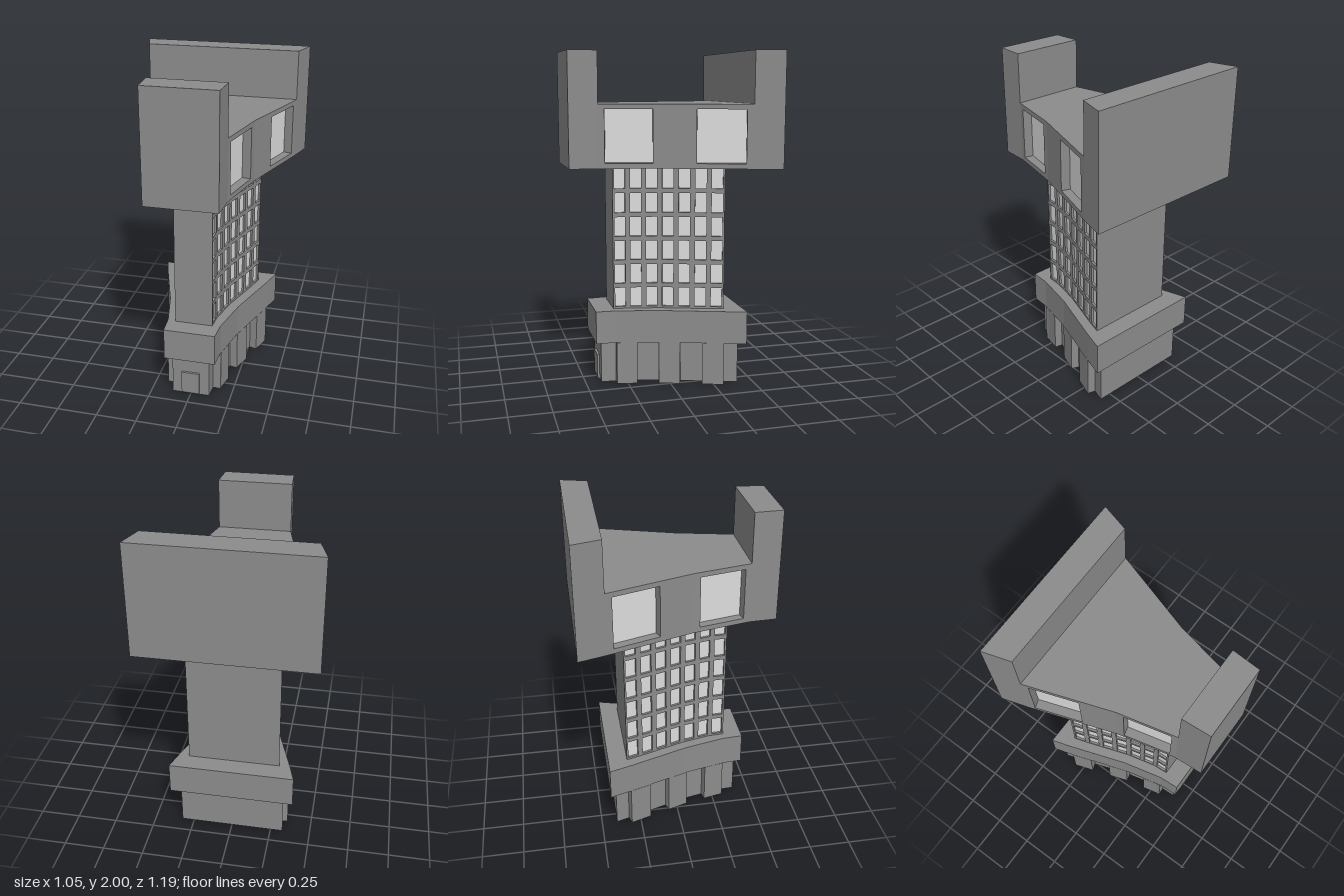
import * as THREE from 'three';

const END = 0.594; // half length of the full-size footprint
// right-hand edge of the full-size footprint, front to back: [x, z]
const EDGE = [[0.215, END], [0.225, 0.425], [0.304, 0.08], [0.475, -0.43], [0.524, -END]];

export function createModel() {
  const model = new THREE.Group();
  model.name = 'tower';
  const concrete = new THREE.MeshStandardMaterial({ color: 0x8c8c8c });
  concrete.name = 'concrete';
  const glass = new THREE.MeshStandardMaterial({ color: 0xdddddd });
  glass.name = 'pale glass';

  // half width of the full-size footprint at z
  function halfWidth(z) {
    let i = 0;
    while (i < EDGE.length - 2 && z < EDGE[i + 1][1]) i++;
    const [x0, z0] = EDGE[i], [x1, z1] = EDGE[i + 1];
    return x0 + (x1 - x0) * (z0 - z) / (z0 - z1);
  }

  // points along the scaled side wall from zA back to zB, moved inward by inset
  function wallPath(scale, zA, zB, inset) {
    const zs = [zA, ...EDGE.map(p => p[1] * scale).filter(z => z < zA - 1e-3 && z > zB + 1e-3), zB];
    return zs.map(z => {
      const u = z / scale, e = 0.002;
      const atEnd = Math.abs(u) > END - 0.003;
      const slope = atEnd ? 0 : (halfWidth(u + e) - halfWidth(u - e)) / (2 * e);
      const len = Math.hypot(1, slope);
      return [halfWidth(u) * scale - inset / len, z + inset * slope / len];
    });
  }

  // upright prism over a plan outline of [x, z] points
  function prism(name, outline, y0, y1, material, parent = model) {
    const shape = new THREE.Shape(outline.map(([x, z]) => new THREE.Vector2(x, -z)));
    const geo = new THREE.ExtrudeGeometry(shape, { depth: y1 - y0, bevelEnabled: false });
    geo.rotateX(-Math.PI / 2).translate(0, y0, 0);
    const mesh = new THREE.Mesh(geo, material);
    mesh.name = name;
    parent.add(mesh);
  }

  // symmetrical block spanning both side walls
  function block(name, scale, zA, zB, y0, y1, inset = 0) {
    const right = wallPath(scale, zA, zB, inset);
    const left = right.map(([x, z]) => [-x, z]).reverse();
    prism(name, [...right, ...left], y0, y1, concrete);
  }

  // layer following one side wall between two insets
  function layer(name, side, scale, zA, zB, y0, y1, outer, inner, material, parent) {
    const outline = [...wallPath(scale, zA, zB, outer), ...wallPath(scale, zA, zB, inner).reverse()];
    prism(name, outline.map(([x, z]) => [x * side, z]), y0, y1, material, parent);
  }

  // storey block with recessed windows in both side walls
  function windowedBlock(name, scale, y0, y1, cols, rows, depth) {
    const zEnd = END * scale;
    block(name + 'Core', scale, zEnd, -zEnd, y0, y1, depth);
    const zCuts = [zEnd, ...cols.flat(), -zEnd];
    const yCuts = [y0, ...rows.flat(), y1];
    for (const side of [1, -1]) {
      const screen = new THREE.Group();
      screen.name = name + (side > 0 ? 'LeftWindows' : 'RightWindows');
      model.add(screen);
      for (let i = 0; i < yCuts.length; i += 2)
        layer('rail', side, scale, zEnd, -zEnd, yCuts[i], yCuts[i + 1], 0, depth, concrete, screen);
      for (const [b, t] of rows) {
        for (let i = 0; i < zCuts.length; i += 2)
          layer('mullion', side, scale, zCuts[i], zCuts[i + 1], b, t, 0, depth, concrete, screen);
        for (const [zA, zB] of cols)
          layer('pane', side, scale, zA, zB, b, t, depth - 0.003, depth, glass, screen);
      }
    }
  }

  // ground floor with three piers on each side
  const base = 0.68;
  block('groundFloor', base, END * base, -END * base, 0, 0.26, 0.03);
  for (const side of [1, -1])
    for (const z of [0.252, 0, -0.252])
      layer('pier', side, base, z + 0.063, z - 0.063, 0, 0.26, -0.02, 0.035, concrete);

  // front door slab with a chamfered foot
  const z0 = END * base;
  const doorSide = new THREE.Shape([[0, 0], [0.005, 0], [0.014, 0.012], [0.014, 0.157], [0, 0.157]]
    .map(p => new THREE.Vector2(...p)));
  const doorGeo = new THREE.ExtrudeGeometry(doorSide, { depth: 0.112, bevelEnabled: false });
  doorGeo.rotateY(-Math.PI / 2).translate(0.056, 0, z0);
  const door = new THREE.Mesh(doorGeo, concrete);
  door.name = 'door';
  model.add(door);

  // overhanging band above the ground floor
  block('band', 0.74, END * 0.74, -END * 0.74, 0.26, 0.46);

  // shaft with a grid of small windows
  const shaftCols = Array.from({ length: 7 }, (_, i) => {
    const z = 0.281 - i * 0.0937;
    return [z + 0.032, z - 0.032];
  });
  const shaftRows = Array.from({ length: 6 }, (_, i) => [0.472 + i * 0.145, 0.59 + i * 0.145]);
  windowedBlock('shaft', 0.545, 0.46, 1.33, shaftCols, shaftRows, 0.017);

  // head with two large windows per side and tall end walls
  windowedBlock('head', 1, 1.33, 1.7, [[0.39, 0.12], [-0.12, -0.39]], [[1.36, 1.67]], 0.057);
  block('frontParapet', 1, END, 0.425, 1.7, 2);
  block('backParapet', 1, -0.428, -END, 1.7, 2);

  return model;
}
